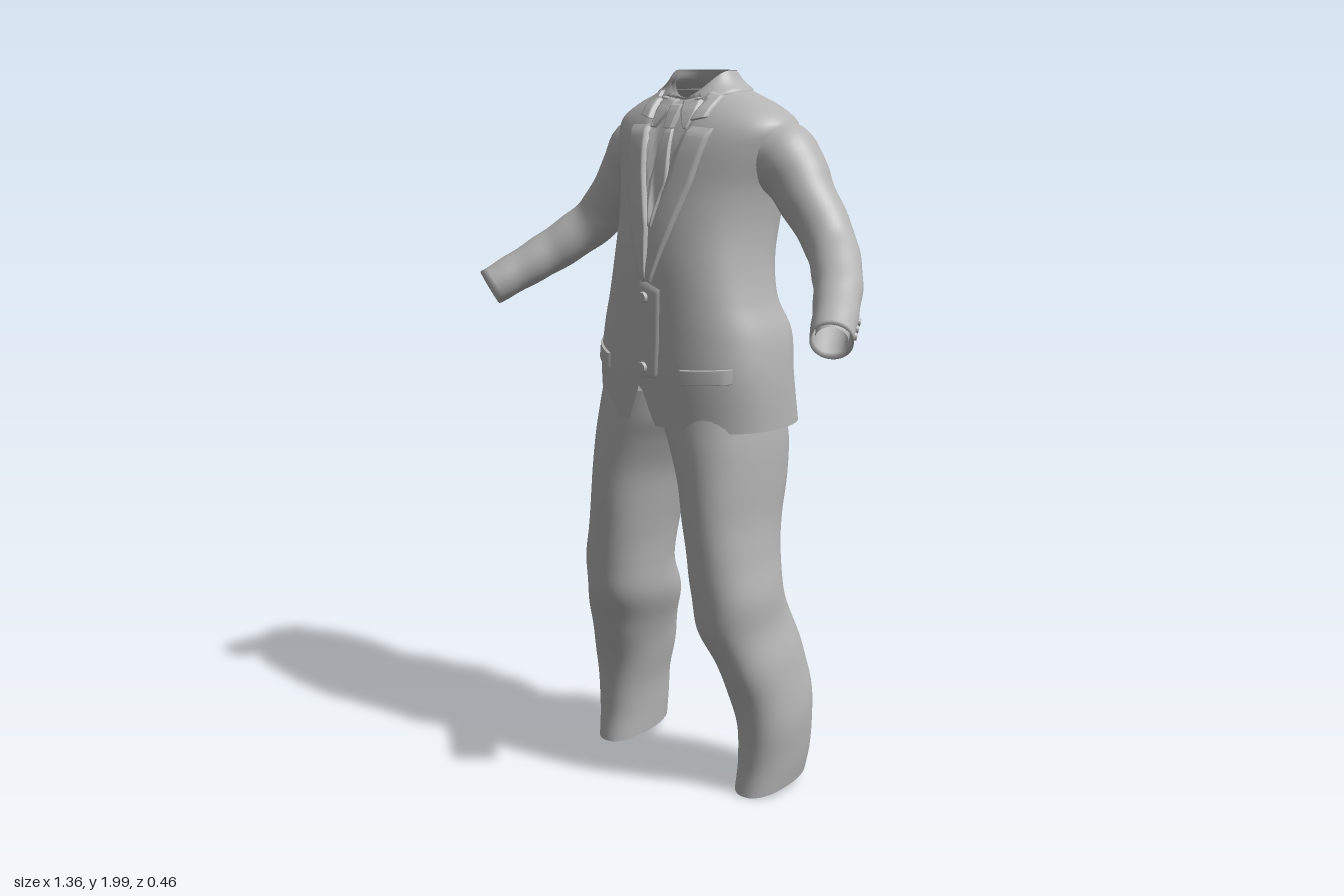
import * as THREE from 'three';

const cloth = new THREE.MeshStandardMaterial({ color: 0xb4b4b4, side: THREE.DoubleSide });
cloth.name = 'grey cloth';

// Smooth surface from a rule fn(u, v) -> [x, y, z]
function grid(name, fn, nu, nv, closed = false) {
  const pos = [], idx = [], cols = closed ? nu : nu + 1;
  for (let j = 0; j <= nv; j++)
    for (let i = 0; i < cols; i++) pos.push(...fn(i / nu, j / nv));
  for (let j = 0; j < nv; j++)
    for (let i = 0; i < nu; i++) {
      const a = j * cols + i, b = j * cols + (i + 1) % cols;
      idx.push(a, a + cols, b, b, a + cols, b + cols);
    }
  const g = new THREE.BufferGeometry();
  g.setAttribute('position', new THREE.Float32BufferAttribute(pos, 3));
  g.setIndex(idx);
  g.computeVertexNormals();
  const mesh = new THREE.Mesh(g, cloth);
  mesh.name = name;
  return mesh;
}

// Cubic interpolation of table rows keyed by an ascending first column
function sample(rows, k) {
  const last = rows.length - 1;
  let i = 0;
  while (i < last - 1 && k > rows[i + 1][0]) i++;
  const h = rows[i + 1][0] - rows[i][0];
  const t = Math.min(1, Math.max(0, (k - rows[i][0]) / h));
  const slope = (n, c) => {
    const p = rows[Math.max(0, n - 1)], q = rows[Math.min(last, n + 1)];
    return (q[c] - p[c]) / (q[0] - p[0]) * h;
  };
  const t2 = t * t, t3 = t2 * t;
  return rows[i].map((v, c) => v * (2 * t3 - 3 * t2 + 1) + slope(i, c) * (t3 - 2 * t2 + t)
    + rows[i + 1][c] * (3 * t2 - 2 * t3) + slope(i + 1, c) * (t3 - t2));
}
const spow = (v, e) => Math.sign(v) * Math.abs(v) ** e;

// Jacket stations: height, half width, front z, back z, drop of the front edge
const BODY = [
  [1.05, .296, .18, -.237, 0], [1.2, .292, .187, -.215, 0], [1.31, .276, .185, -.221, 0],
  [1.4, .245, .183, -.186, 0], [1.5, .226, .179, -.191, 0], [1.6, .222, .166, -.215, 0],
  [1.7, .236, .145, -.232, 0], [1.8, .268, .12, -.236, 0], [1.87, .277, .095, -.22, .01],
  [1.915, .215, .076, -.195, .02], [1.945, .142, .064, -.165, .035],
  [1.97, .105, .054, -.145, .05], [2.0, .09, .04, -.128, .07]];
const roundness = s => 2.4 - .4 * THREE.MathUtils.smoothstep(s, 1.8, 1.95);

function body(s, th, off = 0) {
  const [, a, zf, zb, drop] = sample(BODY, s), e = 2 / roundness(s);
  const c = Math.cos(th), sn = Math.sin(th);
  const x = (a + off) * spow(c, e), y = s - drop * Math.max(0, sn) ** 2;
  let z = (zf + zb) / 2 + ((zf - zb) / 2 + off) * spow(sn, e);
  if (sn > 0) { // shirt opening sits behind the lapels
    const w = .075 * (y - 1.6) / .27;
    if (y < 1.93) z -= .012 * THREE.MathUtils.clamp((w - Math.abs(x)) / .012, 0, 1);
  } else { // centre back crease
    z += .014 * Math.exp(-((x / .03) ** 2)) * Math.exp(-(((s - 1.52) / .15) ** 2));
  }
  return [x, y, z];
}

// Point on the jacket front at a given x, y
function front(x, y, off) {
  let lo = 1.05, hi = 2, p;
  for (let i = 0; i < 24; i++) {
    const s = (lo + hi) / 2, a = sample(BODY, s)[1];
    const c = spow(THREE.MathUtils.clamp(x / a, -1, 1), roundness(s) / 2);
    p = body(s, Math.acos(c));
    if (p[1] < y) lo = s; else hi = s;
  }
  return [p[0], p[1], p[2] + off];
}

// Padded panel between two edge polylines laid on the jacket front
function panel(name, left, right, off = .008) {
  const along = (pts, v) => {
    const k = v * (pts.length - 1), i = Math.min(pts.length - 2, Math.floor(k));
    return [0, 1].map(c => THREE.MathUtils.lerp(pts[i][c], pts[i + 1][c], k - i));
  };
  return grid(name, (u, v) => {
    const U = THREE.MathUtils.clamp((u * 10 - .2) / 9.6, 0, 1);
    const l = along(left, v), r = along(right, v);
    const rim = u === 0 || u === 1 || v === 0 || v === 1;
    return front(l[0] + (r[0] - l[0]) * U, l[1] + (r[1] - l[1]) * U, rim ? -.004 : off);
  }, 10, 24);
}

// Sleeve path: x, y, z, radius
const ARM = [[.2, 1.8, -.07, .1], [.27, 1.765, -.074, .095], [.335, 1.685, -.072, .079],
  [.43, 1.572, -.055, .069], [.515, 1.49, .018, .064], [.578, 1.428, .105, .058], [.633, 1.372, .193, .054]];
const armCurve = new THREE.CatmullRomCurve3(ARM.map(p => new THREE.Vector3(p[0], p[1], p[2])));
const armRadius = ARM.map((p, i) => [i / (ARM.length - 1), p[3]]);

function sleevePoint(t, ang, scale, sx) {
  const c = armCurve.getPoint(t), T = armCurve.getTangent(t);
  const side = new THREE.Vector3(-T.z, 0, T.x).normalize();
  const up = new THREE.Vector3().crossVectors(side, T);
  const r = sample(armRadius, t)[1] * scale * (1 + .018 * Math.sin(t * 42 + ang));
  c.addScaledVector(side, r * Math.cos(ang)).addScaledVector(up, r * Math.sin(ang));
  return [c.x * sx, c.y, c.z];
}

// Leg stations: height, inner x, outer x, front z, back z
const LEG = [[.025, .203, .348, .085, -.16], [.1, .2, .36, .07, -.165], [.2, .192, .368, .072, -.17],
  [.3, .17, .362, .092, -.174], [.4, .145, .345, .128, -.165], [.5, .107, .324, .162, -.138],
  [.6, .1, .317, .175, -.104], [.7, .088, .3, .179, -.112], [.8, .07, .288, .183, -.135],
  [.9, .046, .287, .18, -.163], [1, .002, .285, .175, -.18], [1.06, -.03, .28, .17, -.18], [1.14, -.05, .27, .16, -.18]];

function leg(sx) {
  return grid(sx > 0 ? 'leftTrouserLeg' : 'rightTrouserLeg', (u, v) => {
    const th = u * Math.PI * 2, s = .025 + 1.115 * v, [, xi, xo, zf, zb] = sample(LEG, s);
    const fold = 1 + .014 * Math.sin(s * 34 + 2 * th * sx) * Math.exp(-(((s - .4) / .28) ** 2));
    const x = (xi + xo) / 2 + (xo - xi) / 2 * fold * spow(Math.cos(th), .87) * sx;
    const z = (zf + zb) / 2 + (zf - zb) / 2 * fold * spow(Math.sin(th), .87);
    const hem = .022 * Math.sin(th) * Math.max(0, 1 - s / .15);
    return [x * (1), s - hem, z].map((k, i) => i ? k : (sx > 0 ? k : k - (xi + xo)));
  }, 48, 64, true);
}

function button(name, p, dir, r) {
  const m = new THREE.Mesh(new THREE.CylinderGeometry(r * .85, r, .009, 16), cloth);
  m.name = name;
  m.position.set(...p);
  m.quaternion.setFromUnitVectors(new THREE.Vector3(0, 1, 0), dir.normalize());
  return m;
}

export function createModel() {
  const model = new THREE.Group(), jacket = new THREE.Group(), trousers = new THREE.Group();
  model.name = 'suit'; jacket.name = 'jacket'; trousers.name = 'trousers';
  model.add(jacket, trousers);

  // Jacket shell with cutaway front hem and back vent
  jacket.add(grid('jacketBody', (u, v) => {
    const th = u * Math.PI * 2, x = .29 * spow(Math.cos(th), .83);
    const notch = Math.sin(th) > 0 ? .115 * Math.max(0, 1 - Math.abs(x + .025) / .05)
      : .18 * Math.max(0, 1 - Math.abs(x + .01) / .022);
    const hem = 1.06 + notch;
    return body(hem + (2 - hem) * v, th);
  }, 200, 72, true));

  // Turned-down collar around the back of the neck, and shirt band inside it
  jacket.add(grid('jacketCollar', (u, v) => {
    const th = Math.PI * (.82 + u * 1.36);
    return body(1.945 + .055 * v, th, v === 0 ? -.003 : .009 - .008 * v * v);
  }, 48, 8));
  jacket.add(grid('shirtBand', (u, v) => {
    const p = body(1.96 + .035 * v, u * Math.PI * 2, -.014);
    return p;
  }, 48, 5, true));

  // Lapels, collar ends, shirt collar points
  for (const s of [1, -1]) {
    const m = pts => pts.map(([x, y]) => [x * s, y]);
    jacket.add(
      panel('lapel', m([[.07, 1.866], [.045, 1.74], [.006, 1.6], [-.002, 1.45]]),
        m([[.15, 1.862], [.118, 1.72], [.07, 1.58], [.012, 1.44]]), .01),
      panel('collarEnd', m([[.084, 1.95], [.07, 1.872]]), m([[.122, 1.94], [.118, 1.882]]), .012),
      panel('shirtCollarPoint', m([[.008, 1.925], [.02, 1.895], [.054, 1.85]]),
        m([[.07, 1.935], [.074, 1.9], [.062, 1.85]]), .012));
  }

  // Tie
  jacket.add(
    panel('tieBlade', [[-.013, 1.86], [-.032, 1.72], [-.004, 1.59]], [[.013, 1.86], [.032, 1.72], [.004, 1.59]], .008),
    panel('tieKnot', [[-.024, 1.915], [-.014, 1.85]], [[.024, 1.915], [.014, 1.85]], .016));

  // Front overlap, pocket flaps and front buttons
  jacket.add(
    panel('frontOverlap', [[-.03, 1.47], [-.032, 1.3], [-.026, 1.185]], [[.05, 1.44], [.05, 1.3], [.045, 1.19]], .004),
    panel('rightPocketFlap', [[-.272, 1.262], [-.268, 1.215]], [[-.155, 1.236], [-.155, 1.19]]),
    panel('leftPocketFlap', [[.11, 1.228], [.11, 1.185]], [[.25, 1.238], [.25, 1.195]]));
  for (const y of [1.41, 1.22])
    jacket.add(button('frontButton', front(-.008, y, .008), new THREE.Vector3(0, 0, 1), .016));

  // Sleeves with turned-in cuffs and cuff buttons
  for (const s of [1, -1]) {
    jacket.add(grid(s > 0 ? 'leftSleeve' : 'rightSleeve', (u, v) => {
      const k = v * 1.1, inside = k > 1.0001;
      return sleevePoint(inside ? 2 - k : Math.min(k, 1), s * u * Math.PI * 2, inside ? .86 : 1, s);
    }, 36, 44, true));
    jacket.add(grid('shirtCuff', (u, v) =>
      sleevePoint(.8 + .19 * v, s * u * Math.PI * 2, .76, s), 28, 4, true));
    for (const t of [.86, .9, .94]) {
      const ang = Math.PI * 1.08, p = sleevePoint(t, ang, 1.02, s), q = sleevePoint(t, ang, .2, s);
      jacket.add(button('cuffButton', p, new THREE.Vector3(...p.map((k, i) => k - q[i])), .011));
    }
  }

  // Trousers
  trousers.add(leg(1), leg(-1));
  trousers.position.x = -.008;
  return model;
}
